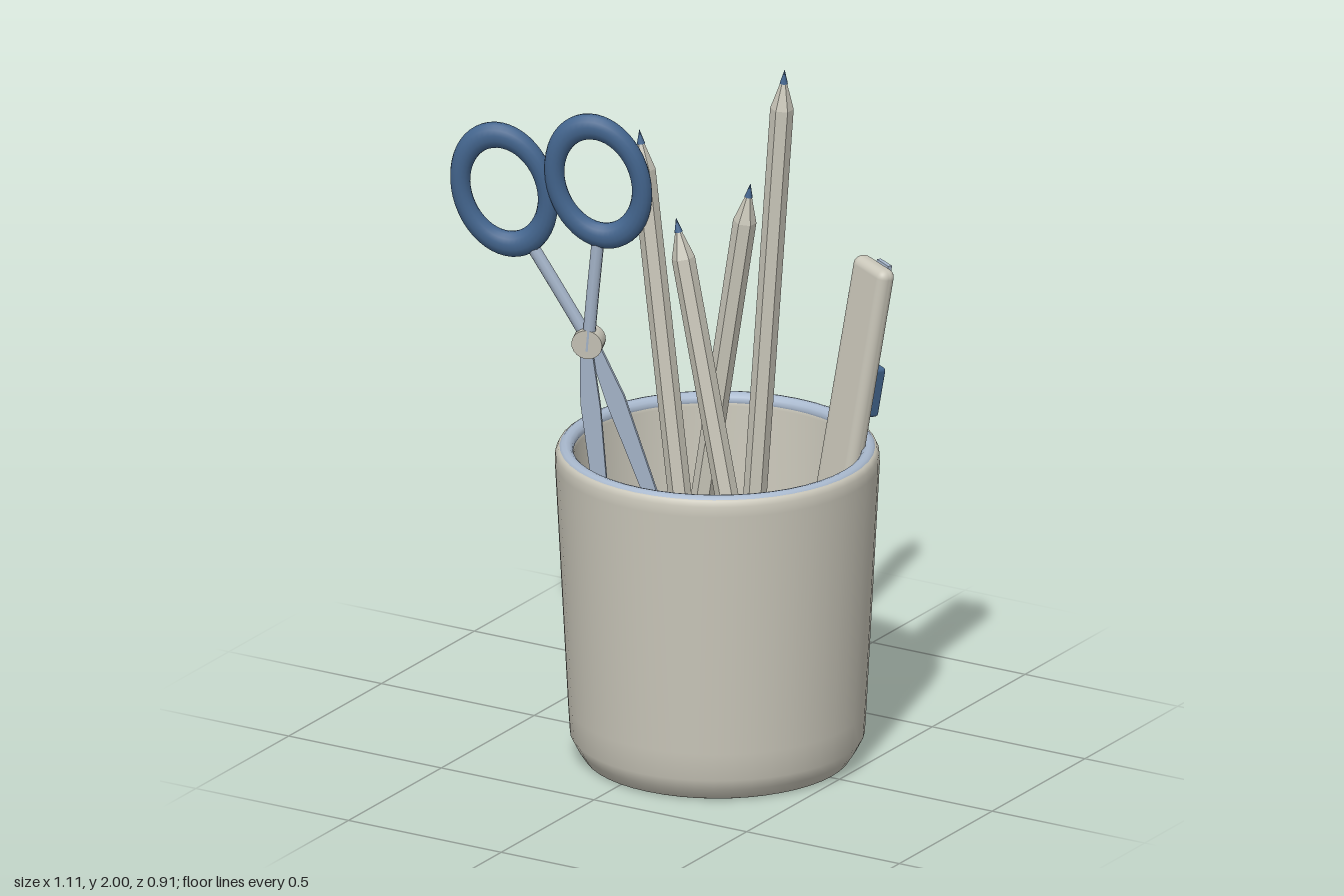
import * as THREE from 'three';
import { RoundedBoxGeometry } from 'three/addons/geometries/RoundedBoxGeometry.js';

const material = (name, color, flatShading = false) => {
  const m = new THREE.MeshStandardMaterial({ color, flatShading });
  m.name = name;
  return m;
};

export function createModel() {
  const beige = material('warmGrey', 0xcac7ba);
  const steel = material('paleBlue', 0xa9b9ce);
  const blue = material('deepBlue', 0x44668f);
  const root = new THREE.Group();
  root.name = 'deskCup';

  const add = (parent, name, geometry, mat, x = 0, y = 0, z = 0) => {
    const mesh = new THREE.Mesh(geometry, mat);
    mesh.name = name;
    mesh.position.set(x, y, z);
    parent.add(mesh);
    return mesh;
  };

  // Group whose local y axis runs from base towards tip, turned by yaw about it
  const leaning = (name, base, tip, yaw = 0) => {
    const group = new THREE.Group();
    group.name = name;
    const start = new THREE.Vector3(...base);
    const dir = new THREE.Vector3(...tip).sub(start);
    group.userData.length = dir.length();
    const up = new THREE.Vector3(0, 1, 0);
    group.position.copy(start);
    group.quaternion.setFromUnitVectors(up, dir.normalize())
      .multiply(new THREE.Quaternion().setFromAxisAngle(up, yaw));
    root.add(group);
    return group;
  };

  // Cup: closed wall with a thick floor, and a rolled rim
  const profile = [
    [0, 0], [0.365, 0], [0.375, 0.004], [0.395, 0.035], [0.413, 0.07], [0.418, 0.15],
    [0.455, 0.87], [0.454, 0.9], [0.447, 0.915], [0.435, 0.92], [0.41, 0.915],
    [0.402, 0.89], [0.365, 0.1], [0.34, 0.06], [0, 0.05],
  ].map(([r, y]) => new THREE.Vector2(r, y));
  add(root, 'cup', new THREE.LatheGeometry(profile, 48), beige, 0.1);
  add(root, 'rim', new THREE.TorusGeometry(0.425, 0.022, 12, 48), steel, 0.1, 0.904)
    .rotation.x = Math.PI / 2;

  // Pencils: hexagonal body, sharpened cone, lead, ferrule and eraser
  const pencils = [
    [0.058, 0.205, 2.0, -0.19], [-0.102, 0.165, 1.69, -0.072],
    [0.31, -0.01, 1.59, 0.042], [0.167, -0.06, 1.88, 0.157],
  ];
  for (const [baseX, tipX, tipY, z] of pencils) {
    const pencil = leaning('pencil', [baseX, 0.055, z], [tipX, tipY, z]);
    const len = pencil.userData.length;
    const shoulder = len - 0.118;
    const hex = (top, bottom, h) =>
      new THREE.CylinderGeometry(top, bottom, h, 6).toNonIndexed();
    const parts = [
      ['pencilBody', hex(0.033, 0.033, shoulder - 0.09), (shoulder + 0.09) / 2],
      ['pencilCone', hex(0.007, 0.033, 0.085), shoulder + 0.0425],
    ];
    for (const [name, geometry, y] of parts) {
      geometry.computeVertexNormals();
      add(pencil, name, geometry, beige, 0, y);
    }
    add(pencil, 'lead', new THREE.ConeGeometry(0.012, 0.042, 8), blue, 0, len - 0.021);
    add(pencil, 'ferrule', new THREE.CylinderGeometry(0.036, 0.036, 0.05, 16), steel, 0, 0.07);
    add(pencil, 'eraser', new THREE.CylinderGeometry(0.032, 0.032, 0.045, 16), blue, 0, 0.0225);
  }

  // Cutter: rounded body, rail and slider on its back, cap at the base
  const cutter = leaning('cutter', [0.26, 0.06, -0.165], [0.478, 1.465, -0.228], -0.36);
  const cutterLen = cutter.userData.length;
  add(cutter, 'cutterBody', new RoundedBoxGeometry(0.145, cutterLen, 0.056, 4, 0.025),
    beige, 0, cutterLen / 2);
  add(cutter, 'cutterRail', new THREE.BoxGeometry(0.052, cutterLen - 0.1, 0.014),
    steel, 0, cutterLen / 2 + 0.045, -0.035);
  add(cutter, 'cutterSlider', new RoundedBoxGeometry(0.078, 0.15, 0.04, 3, 0.01),
    blue, 0, 1.03, -0.056);
  add(cutter, 'cutterCap', new RoundedBoxGeometry(0.155, 0.08, 0.068, 3, 0.015), blue, 0, 0.04);

  // Scissors: two crossed halves around a pivot
  const pivot = [-0.2, 1.235, 0.2];
  const scissors = leaning('scissors', pivot, [-0.276, 1.71, 0.277], 0.32);
  const bladePoints = [
    [-0.012, 0.03], [0.016, 0.03], [0.062, -0.18], [0.112, -0.72], [0.085, -0.73], [0.008, -0.2],
  ];
  for (const side of [-1, 1]) {
    const z = side * 0.008;
    const points = bladePoints.map(([x, y]) => new THREE.Vector2(side * x, y));
    const blade = new THREE.ExtrudeGeometry(new THREE.Shape(points),
      { depth: 0.012, bevelEnabled: false });
    add(scissors, 'blade', blade, steel, 0, 0, -z - 0.006);

    const arm = new THREE.CatmullRomCurve3([
      new THREE.Vector3(side * -0.005, -0.02, z),
      new THREE.Vector3(side * 0.045, 0.14, z),
      new THREE.Vector3(side * 0.1, 0.31, z),
    ]);
    add(scissors, 'arm', new THREE.TubeGeometry(arm, 10, 0.018, 10), steel);

    add(scissors, 'fingerRing', new THREE.TorusGeometry(0.123, 0.028, 14, 48),
      blue, side * 0.14, 0.487, z).scale.y = 1.38;
  }
  add(scissors, 'pivotScrew', new THREE.CylinderGeometry(0.044, 0.044, 0.05, 20), beige)
    .rotation.x = Math.PI / 2;

  return root;
}
